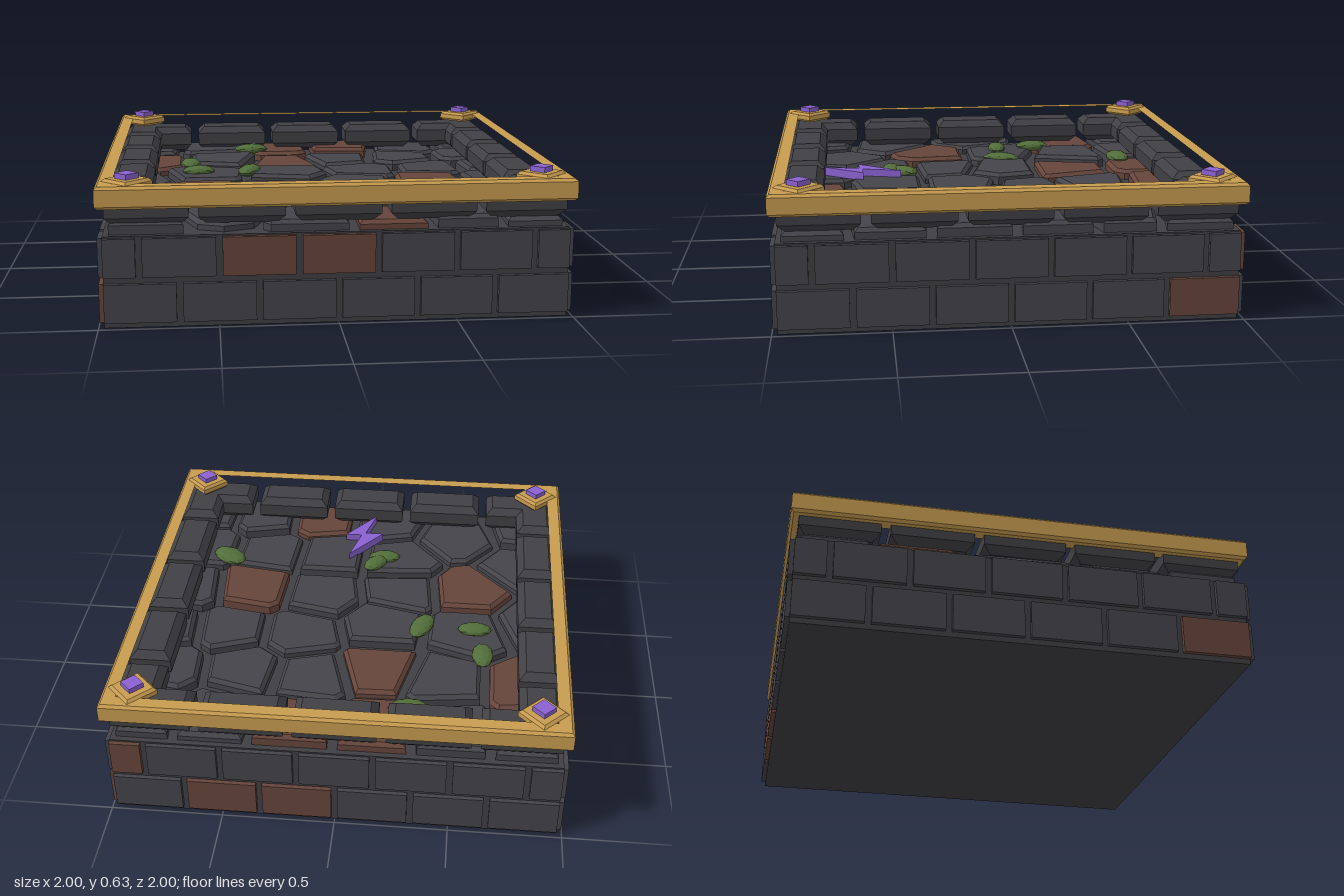
import * as THREE from 'three';

const mat = (name, color) => {
  const m = new THREE.MeshStandardMaterial({ color });
  m.name = name;
  return m;
};

// Keep the part of a polygon on the inner side of the line through (px, pz) with outward normal (nx, nz)
const clip = (poly, px, pz, nx, nz) => {
  const dist = ([x, z]) => (x - px) * nx + (z - pz) * nz;
  return poly.flatMap((a, i) => {
    const b = poly[(i + 1) % poly.length], da = dist(a), db = dist(b);
    const kept = da <= 0 ? [a] : [];
    if (da * db < 0) {
      const t = da / (da - db);
      kept.push([a[0] + (b[0] - a[0]) * t, a[1] + (b[1] - a[1]) * t]);
    }
    return kept;
  });
};

// Paving stone outline: an octagon round its centre, cut halfway to each neighbour less a joint
const paverOutline = (centre, centres) => {
  const [cx, cz] = centre, joint = 0.022;
  let poly = Array.from({ length: 8 }, (_, k) => {
    const a = (k + 0.5 + cx) * Math.PI / 4;
    return [cx + 0.235 * Math.cos(a), cz + 0.235 * Math.sin(a)];
  });
  for (const [x, z] of centres) {
    const d = Math.hypot(x - cx, z - cz);
    if (d === 0) continue;
    const nx = (x - cx) / d, nz = (z - cz) / d, reach = d / 2 - joint;
    poly = clip(poly, cx + nx * reach, cz + nz * reach, nx, nz);
  }
  for (const s of [-1, 1]) {
    poly = clip(poly, s * 0.95, 0, s, 0);
    poly = clip(poly, 0, s * 0.95, 0, s);
  }
  // Drop corners that nearly coincide
  return poly.filter((p, i) => {
    const q = poly[(i + 1) % poly.length];
    return Math.hypot(p[0] - q[0], p[1] - q[1]) > 0.03;
  });
};

export function createModel() {
  const root = new THREE.Group();
  root.name = 'stoneFloorTile';
  const stone = mat('dark stone', 0x45444a);
  const mortar = mat('mortar', 0x3f3f44);
  const rimStone = mat('rim stone', 0x404045);
  const brown = mat('red brown stone', 0x66453b);
  const gold = mat('gold', 0xc89c50);
  const purple = mat('purple crystal', 0x8a62d0);
  const moss = mat('moss', 0x526e3a);
  moss.flatShading = true;

  const add = (name, geometry, material, parent = root) => {
    const mesh = new THREE.Mesh(geometry, material);
    mesh.name = name;
    parent.add(mesh);
    return mesh;
  };
  const group = (name) => {
    const g = new THREE.Group();
    g.name = name;
    root.add(g);
    return g;
  };
  // Slab with bevelled edges from an outline of [x, z] points, filling y0 to y1
  const outline = (pts) => new THREE.Shape(pts.map(([x, z]) => new THREE.Vector2(x, -z)));
  const slab = (shape, y0, y1, bevel) => {
    const g = new THREE.ExtrudeGeometry(shape, {
      depth: y1 - y0 - 2 * bevel, bevelEnabled: bevel > 0, bevelSegments: 1,
      bevelSize: bevel, bevelThickness: bevel, bevelOffset: -bevel,
    });
    return g.rotateX(-Math.PI / 2).translate(0, y0 + bevel, 0);
  };
  const rect = (x0, x1, z0, z1) => [[x0, z0], [x1, z0], [x1, z1], [x0, z1]];

  // Core block
  add('core', new THREE.BoxGeometry(1.95, 0.39, 1.95).translate(0, 0.195, 0), mortar);

  // Two brick courses and a row of rim stones on each side
  const sides = [
    { name: 'front', turn: 0, brownUpper: [2, 3], brownLower: [] },
    { name: 'left', turn: Math.PI / 2, brownUpper: [], brownLower: [5] },
    { name: 'back', turn: Math.PI, brownUpper: [0], brownLower: [1, 2] },
    { name: 'right', turn: -Math.PI / 2, brownUpper: [], brownLower: [5] },
  ];
  for (const side of sides) {
    const wall = group(side.name + 'Wall');
    wall.rotation.y = side.turn;
    const course = (count, y, browns) => {
      for (let i = 0; i < count; i++) {
        const mid = (i - (count - 1) / 2) * 0.331;
        const x0 = Math.max(mid - 0.152, -0.975), x1 = Math.min(mid + 0.152, 0.975);
        const g = new THREE.BoxGeometry(x1 - x0, 0.165, 0.05).translate((x0 + x1) / 2, y, 0.97);
        add('brick', g, browns.includes(i) ? brown : stone, wall);
      }
    };
    course(6, 0.107, side.brownLower);
    course(7, 0.3, side.brownUpper);
    for (let i = -2; i <= 2; i++) {
      const x0 = Math.max(i * 0.4 - 0.18, -0.965), x1 = Math.min(i * 0.4 + 0.18, 0.965);
      add('rimStone', slab(outline(rect(x0, x1, 0.778, 0.965)), 0.43, 0.555, 0.032), rimStone, wall);
    }
  }

  // Irregular paving, grown around the stone centres
  const brownCentres = [[-.82, -.49], [-.15, -.82], [.18, -.83], [-.14, -.42], [-.55, .23], [.52, .16], [.24, .83]];
  const greyCentres = [
    [-.86, -.83], [-.49, -.8], [.55, -.79], [.88, -.82], [-.45, -.49], [.15, -.5], [.47, -.48], [.82, -.5],
    [-.87, 0], [-.55, -.11], [-.14, -.09], [.24, -.18], [.58, -.18], [.88, -.2], [-.21, .2], [.17, .14], [.85, .13],
    [-.8, .46], [-.19, .47], [.17, .48], [.47, .5], [.83, .52], [-.83, .82], [-.47, .7], [-.1, .82], [.55, .82], [.86, .84],
  ];
  const centres = [...brownCentres, ...greyCentres];
  const floor = group('paving');
  centres.forEach((centre, i) => {
    const shape = outline(paverOutline(centre, centres));
    add('paver', slab(shape, 0.34, 0.43 + (i % 3) * 0.008, 0.017), i < brownCentres.length ? brown : stone, floor);
  });

  // Moss clumps: x, z, half length, half width, turn
  const clumps = [
    [-.3, -.71, .09, .055, 0.1], [-.62, -.31, .085, .05, 1.6], [-.58, -.115, .08, .045, 0],
    [-.33, -.11, .095, .05, 1.2], [-.07, .4, .075, .045, 0.9], [-.11, .46, .08, .045, 0.1], [.68, .4, .095, .06, -0.6],
  ];
  for (const [x, z, a, b, turn] of clumps) {
    const clump = add('mossClump', new THREE.IcosahedronGeometry(1, 1), moss);
    clump.scale.set(a, 0.028, b);
    clump.rotation.y = turn;
    clump.position.set(x, 0.445, z);
  }

  // Zigzag crystal inlay
  const zigzag = [[.068, .42], [-.09, .62], [0, .62], [-.045, .79], [.1, .6], [.02, .6]];
  add('zigzagInlay', slab(outline(zigzag), 0.44, 0.48, 0), purple);

  // Gold frame
  const ring = outline(rect(-1, 1, -1, 1));
  ring.holes.push(outline(rect(-.945, .945, -.945, .945)));
  add('goldFrame', slab(ring, 0.505, 0.6, 0.012), gold);

  // Corner diamonds with gems
  const diamond = (r) => outline([[r, 0], [0, r], [-r, 0], [0, -r]]);
  for (const x of [-0.873, 0.873]) for (const z of [-0.873, 0.873]) {
    add('cornerPlate', slab(diamond(0.107), 0.565, 0.612, 0.012), gold).position.set(x, 0, z);
    add('cornerGem', slab(diamond(0.05), 0.6, 0.635, 0), purple).position.set(x, 0, z);
  }
  return root;
}
